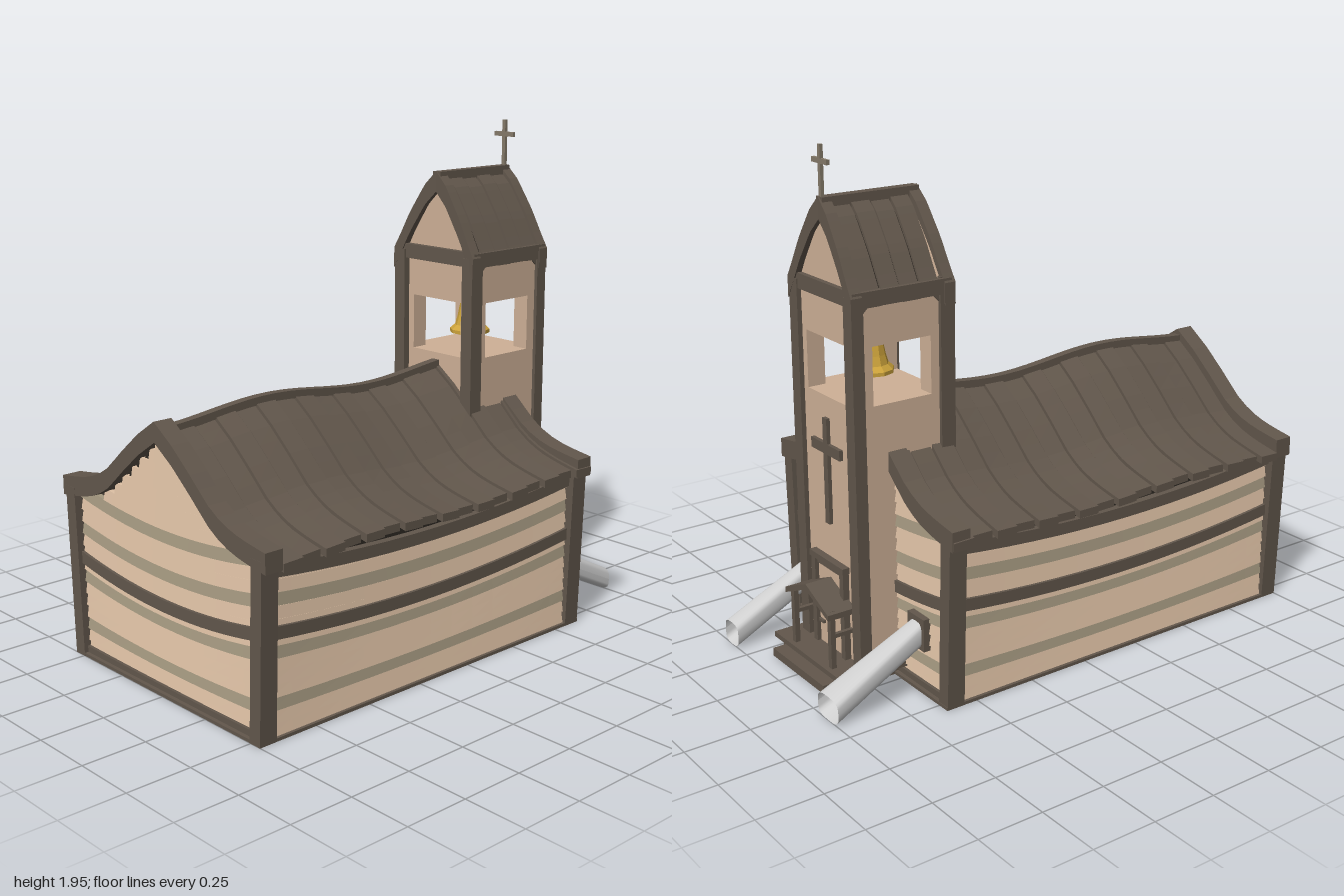
import * as THREE from 'three';

const mat = (name, color, flat = true, side = THREE.FrontSide) => {
  const m = new THREE.MeshStandardMaterial({ color, flatShading: flat, side });
  m.name = name;
  return m;
};

// piecewise linear profile: height as a function of |z|
const profile = (pts) => (z) => {
  const a = Math.abs(z);
  for (let i = 1; i < pts.length; i++) {
    if (a <= pts[i][0]) {
      const [z0, y0] = pts[i - 1], [z1, y1] = pts[i];
      return y0 + (y1 - y0) * (a - z0) / (z1 - z0);
    }
  }
  return pts[pts.length - 1][1];
};
const NAVE = [[0, 0.99], [0.1, 0.92], [0.21, 0.825], [0.29, 0.75], [0.36, 0.705], [0.42, 0.68], [0.5, 0.66], [0.62, 0.637]];
const TOWER = [[0, 1.75], [0.057, 1.695], [0.134, 1.58], [0.185, 1.485], [0.22, 1.425]];
const naveY = profile(NAVE), towerY = profile(TOWER);
const ridgeWave = (x) => 0.02 * Math.cos((x + 0.5) * Math.PI * 2);

// move every vertex by a rule
const bend = (geo, rule) => {
  const p = geo.attributes.position, v = new THREE.Vector3();
  for (let i = 0; i < p.count; i++) {
    rule(v.fromBufferAttribute(p, i));
    p.setXYZ(i, v.x, v.y, v.z);
  }
  geo.computeVertexNormals();
  return geo;
};

export function createModel() {
  const root = new THREE.Group();
  root.name = 'church';
  const timber = mat('dark timber', 0x62574c);
  const gap = mat('plank gap', 0x2e2923);
  const tan = mat('tan siding', 0xdcbfa3);
  const moss = mat('grey green siding', 0xa3977f);
  const plaster = mat('tower plaster', 0xcfb197);
  const gold = mat('bell gold', 0xcfa53c);
  const metal = mat('chute metal', 0xcfcfcf, false, THREE.DoubleSide);
  const iron = mat('cross iron', 0x857a6a);

  const add = (name, geo, material, parent = root) => {
    const m = new THREE.Mesh(geo, material);
    m.name = name;
    parent.add(m);
    return m;
  };
  // box given by its limits
  const box = (name, material, x0, x1, y0, y1, z0, z1) => {
    const m = add(name, new THREE.BoxGeometry(x1 - x0, y1 - y0, z1 - z0), material);
    m.position.set((x0 + x1) / 2, (y0 + y1) / 2, (z0 + z1) / 2);
    return m;
  };
  // saddle-shaped strip that runs over a ridge from eave to eave
  const saddle = (name, material, x0, x1, zEnd, thick, heightAt) => {
    const g = new THREE.BoxGeometry(x1 - x0, thick, zEnd * 2, 1, 1, 24);
    g.translate((x0 + x1) / 2, -thick / 2, 0);
    add(name, bend(g, (v) => { v.y += heightAt(v.z, v.x); }), material);
  };
  // solid prism under a profile
  const prism = (name, material, pts, drop, zMax, yBase, x0, x1) => {
    const f = profile(pts), n = 24, s = new THREE.Shape();
    s.moveTo(-zMax, yBase);
    s.lineTo(zMax, yBase);
    for (let i = 0; i <= n; i++) {
      const z = zMax - (2 * zMax * i) / n;
      s.lineTo(z, f(z) - drop);
    }
    const g = new THREE.ExtrudeGeometry(s, { depth: x1 - x0, bevelEnabled: false });
    g.rotateY(Math.PI / 2).translate(x0, 0, 0);
    add(name, g, material);
  };

  // nave core and floor
  prism('naveCore', gap, NAVE, 0.05, 0.52, 0.01, -0.96, 0.59);
  box('floor', timber, -1, 0.63, 0, 0.012, -0.55, 0.55);

  // sagging clapboards and beams on the four walls
  const wallStrip = (name, material, wall, half, y, h, t, lap) => {
    const g = new THREE.BoxGeometry(half * 2, h, t, 14, 1, 1);
    bend(g, (v) => {
      if (v.z > 0 && v.y < 0) v.z += lap;
      const u = v.x / wall.half;
      v.y += y + h / 2;
      v.y -= 0.048 * (1 - u * u) * Math.min(1, v.y / 0.36);
      v.z += wall.out;
    });
    g.rotateY(wall.turn).translate(wall.cx, 0, 0);
    add(name, g, material);
  };
  const walls = [
    { turn: 0, half: 0.77, out: 0.52, cx: -0.185 },
    { turn: Math.PI, half: 0.77, out: 0.52, cx: -0.185 },
    { turn: Math.PI / 2, half: 0.51, out: 0.59, cx: 0, gable: true },
    { turn: -Math.PI / 2, half: 0.51, out: 0.96, cx: 0, gable: true },
  ];
  const step = 0.047;
  for (const w of walls) {
    for (let i = 0; i < (w.gable ? 21 : 13); i++) {
      const y = 0.012 + i * step;
      let half = w.half;
      while (w.gable && half > 0.03 && naveY(half) + 0.015 < y + step) half -= 0.01;
      const mossy = i === 2 || i === 6 || i === 10 || i === 13;
      wallStrip('sidingPlank', mossy ? moss : tan, w, half, y, step - 0.004, 0.02, 0.008);
    }
    wallStrip('middleBeam', timber, w, w.half, 0.365, 0.046, 0.05, 0);
    if (w.gable) wallStrip('sillBeam', timber, w, w.half, 0.005, 0.032, 0.05, 0);
    else wallStrip('topPlate', timber, w, w.half, 0.585, 0.045, 0.06, 0);
  }

  // splayed corner posts
  for (const x of [-0.965, 0.592]) for (const s of [-1, 1]) {
    const g = new THREE.BoxGeometry(0.072, 0.66, 0.055);
    g.translate(x, 0.33, s * 0.523);
    add('cornerPost', bend(g, (v) => { v.z += s * 0.035 * v.y; }), timber);
  }

  // nave roof planks of alternating length, verge trims and ridge
  const roofAt = (z, x) => naveY(z) + ridgeWave(x) * (1 - Math.abs(z));
  const count = 17, pitch = 1.56 / count;
  for (let i = 0; i < count; i++) {
    const x = -0.93 + i * pitch, long = i % 2 === 0;
    saddle('roofPlank', timber, x + 0.003, x + pitch - 0.003, long ? 0.597 : 0.575, 0.03,
      (z, px) => roofAt(z, px) + (long ? 0.008 : 0));
  }
  for (const x of [-1, 0.555]) {
    saddle('vergeTrim', timber, x, x + 0.075, 0.592, 0.075,
      (z) => naveY(z) + 0.025 + Math.abs(z) * 0.045);
  }
  const ridge = new THREE.BoxGeometry(1.3, 0.03, 0.035, 20, 1, 1).translate(-0.28, 0.995, 0);
  add('ridgeCap', bend(ridge, (v) => { v.y += ridgeWave(v.x); }), timber);

  // tower body with crossing belfry openings
  const X0 = 0.375, X1 = 0.757, Z = 0.198;
  box('towerShaft', plaster, X0, X1, 0.01, 1.05, -Z, Z);
  box('towerHead', plaster, X0, X1, 1.267, 1.45, -Z, Z);
  for (const s of [-1, 1]) for (const [a, b] of [[X0, 0.443], [0.686, X1]]) {
    box('belfryPier', plaster, a, b, 1.05, 1.267, s > 0 ? 0.13 : -Z, s > 0 ? Z : -0.13);
  }
  // tower corner posts and head beams
  for (const s of [-1, 1]) {
    const za = s > 0 ? 0.158 : -0.212, zb = za + 0.054;
    box('towerPost', timber, 0.348, 0.408, 0.3, 1.45, za, zb);
    box('towerPost', timber, 0.727, 0.775, 0.01, 1.45, za, zb);
    box('towerSideBeam', timber, 0.36, 0.77, 1.412, 1.468, za, zb);
    // small corner braces under the beams
    for (const x of [0.41, 0.725]) {
      const b = box('towerBrace', timber, x - 0.016, x + 0.016, 1.394, 1.426, s * 0.185 - 0.018, s * 0.185 + 0.018);
      b.rotation.z = Math.PI / 4;
    }
  }
  box('towerFrontBeam', timber, 0.73, 0.77, 1.415, 1.472, -0.2, 0.2);
  box('towerBackBeam', timber, 0.355, 0.4, 1.415, 1.472, -0.2, 0.2);

  // tower roof
  prism('towerGable', plaster, TOWER, 0.02, 0.185, 1.44, 0.38, 0.75);
  prism('towerRoofCore', gap, TOWER, 0.012, 0.195, 1.44, 0.41, 0.725);
  for (let i = 0; i < 4; i++) {
    const x = 0.41 + i * 0.08;
    saddle('towerRoofPlank', timber, x + 0.003, x + 0.076, 0.212, 0.03, (z) => towerY(z) + 0.008 - (i % 2) * 0.006);
  }
  // end trims lean outwards towards the eaves
  for (const [x, lean] of [[0.362, -0.015], [0.722, 0.01]]) {
    saddle('towerVergeTrim', timber, x, x + 0.045, 0.216, 0.08, (z) => towerY(z) + 0.02);
    bend(root.children[root.children.length - 1].geometry, (v) => { v.x += lean * Math.abs(v.z) / 0.21; });
  }
  box('towerRidge', timber, 0.365, 0.762, 1.722, 1.768, -0.02, 0.02);

  // roof cross and wall cross
  box('roofCrossPost', iron, 0.745, 0.758, 1.74, 1.948, -0.008, 0.008);
  box('roofCrossArm', iron, 0.745, 0.758, 1.882, 1.9, -0.05, 0.05);
  box('wallCrossPost', timber, X1 - 0.005, 0.772, 0.565, 0.97, -0.014, 0.014);
  box('wallCrossArm', timber, X1 - 0.005, 0.772, 0.835, 0.874, -0.098, 0.098);

  // bell
  const bellPts = [[0, 1.125], [0.065, 1.115], [0.08, 1.108], [0.08, 1.122], [0.06, 1.14], [0.05, 1.175], [0.036, 1.25], [0.028, 1.268], [0, 1.268]];
  const bell = new THREE.Group();
  bell.name = 'bell';
  bell.position.x = 0.565;
  root.add(bell);
  add('bellBody', new THREE.LatheGeometry(bellPts.map((p) => new THREE.Vector2(p[0], p[1])), 10), gold, bell);
  add('bellClapper', new THREE.SphereGeometry(0.022, 8, 6).translate(0, 1.107, 0), gold, bell);

  // door and frame
  box('door', plaster, 0.755, 0.766, 0.05, 0.4, -0.09, 0.09);
  for (const s of [-1, 1]) box('doorJamb', timber, 0.755, 0.782, 0.05, 0.41, s * 0.1 - 0.013, s * 0.1 + 0.013);
  box('doorLintel', timber, 0.755, 0.786, 0.405, 0.428, -0.118, 0.118);
  for (const y of [0.235, 0.39]) box('doorBar', timber, 0.76, 0.772, y - 0.007, y + 0.007, -0.09, 0.09);
  box('doorHandle', timber, 0.76, 0.776, 0.145, 0.156, 0.05, 0.085);

  // porch deck, step, posts, rails and little gabled roof
  box('porchBase', timber, 0.6, 0.86, 0, 0.042, -0.21, 0.21);
  box('porchDeck', timber, 0.6, 0.876, 0.042, 0.062, -0.25, 0.25);
  box('porchStep', timber, 0.86, 0.92, 0, 0.032, -0.185, 0.185);
  for (const s of [-1, 1]) {
    box('porchPost', timber, 0.837, 0.857, 0.06, 0.29, s * 0.132 - 0.011, s * 0.132 + 0.011);
    box('porchRail', timber, 0.76, 0.85, 0.18, 0.195, s * 0.132 - 0.008, s * 0.132 + 0.008);
  }
  saddle('porchRoof', timber, 0.76, 0.874, 0.155, 0.022, (z) => 0.352 - Math.abs(z) * 0.44);

  // hatches and tapered chutes
  for (const [z, wTop, wEnd] of [[0.363, 0.036, 0.052], [-0.355, 0.036, 0.07]]) {
    box('chuteHatch', timber, 0.58, 0.63, 0.17, 0.295, z - 0.052, z + 0.052);
    const g = new THREE.CylinderGeometry(1, 1, 1, 20, 1, true).rotateZ(-Math.PI / 2);
    const square = (c) => Math.sign(c) * Math.pow(Math.abs(c), 0.6);
    bend(g, (v) => {
      const t = v.x + 0.5;
      v.x = 0.61 + 0.39 * t;
      v.y = 0.235 - 0.189 * t + square(v.y) * (0.05 - 0.004 * t);
      v.z = z + square(v.z) * (wTop + (wEnd - wTop) * t);
    });
    add('chute', g, metal);
  }
  return root;
}
